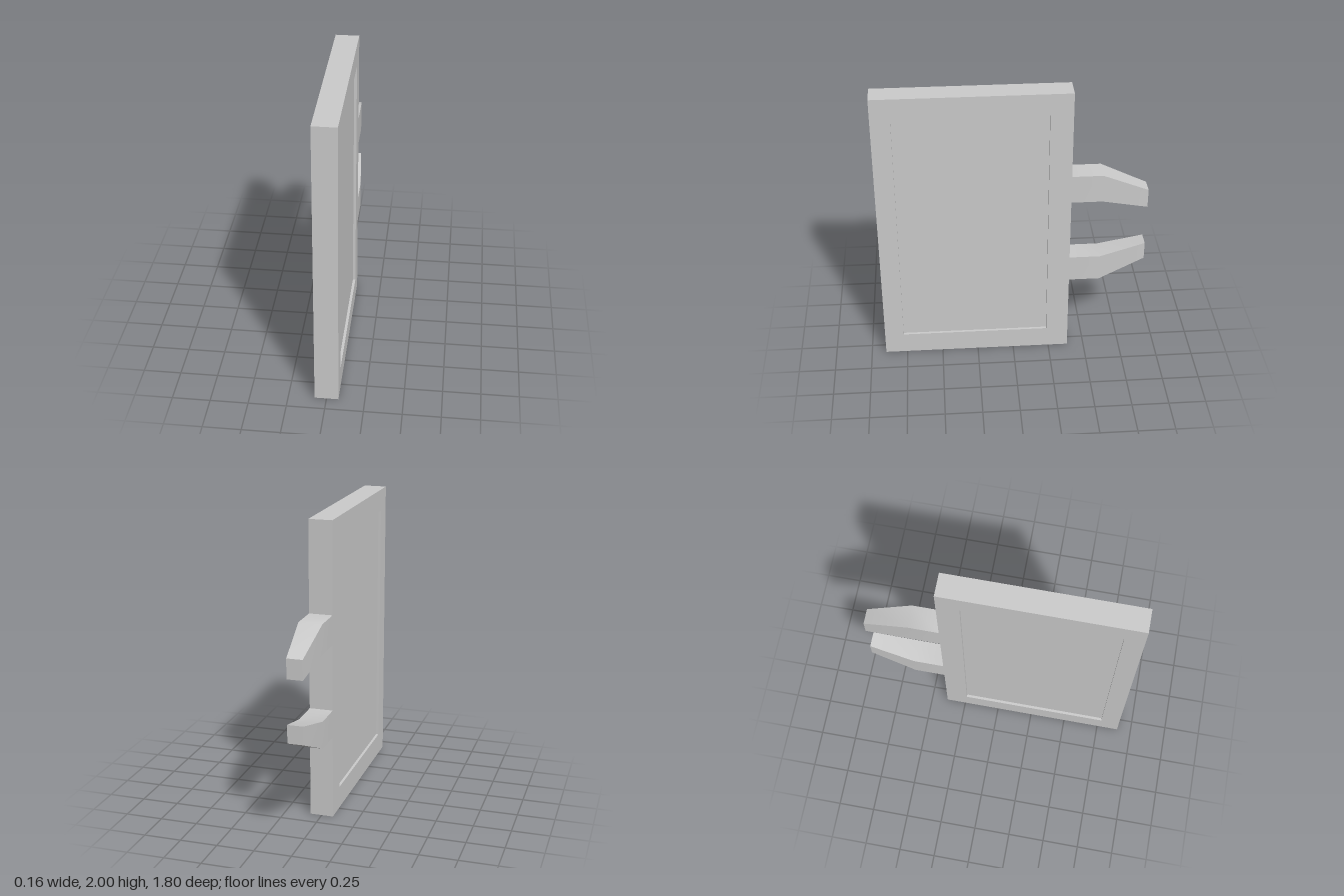
import * as THREE from 'three';

const HALF = 0.078; // half thickness of the board

// Rectangle outline in the (z, y) plane
function rect(target, z0, z1, y0, y1) {
  target.moveTo(z0, y0);
  target.lineTo(z1, y0);
  target.lineTo(z1, y1);
  target.lineTo(z0, y1);
  target.closePath();
  return target;
}

// Prong lofted through three rectangular sections: [z, yLow, yHigh, halfWidth]
function prongGeometry(sections) {
  const geo = new THREE.BoxGeometry(2, 2, 2, 1, 1, 2);
  const p = geo.attributes.position;
  for (let i = 0; i < p.count; i++) {
    const [z, low, high, half] = sections[Math.round(1 - p.getZ(i))];
    p.setXYZ(i, p.getX(i) * half, p.getY(i) > 0 ? high : low, z);
  }
  geo.computeVertexNormals();
  return geo;
}

export function createModel() {
  const model = new THREE.Group();
  const material = new THREE.MeshStandardMaterial({ color: 0xcccccc });
  const add = (name, geo) => {
    const mesh = new THREE.Mesh(geo, material);
    mesh.name = name;
    model.add(mesh);
    return mesh;
  };

  // Frame with a rectangular opening
  const outline = rect(new THREE.Shape(), -0.385, 0.9, 0, 2);
  outline.holes.push(rect(new THREE.Path(), -0.235, 0.77, 0.15, 1.85));
  const frame = new THREE.ExtrudeGeometry(outline, { depth: 2 * HALF, bevelEnabled: false });
  frame.translate(0, 0, -HALF).rotateY(-Math.PI / 2);
  add('frame', frame);

  // Panel set slightly back on both sides
  const panel = add('recessedPanel', new THREE.BoxGeometry(2 * (HALF - 0.018), 1.7, 1.005));
  panel.position.set(0, 1, 0.2675);

  // Two tapering prongs on the back edge, bending toward each other
  add('upperProng', prongGeometry([
    [-0.385, 1.195, 1.393, HALF], [-0.592, 1.195, 1.393, HALF], [-0.9, 1.123, 1.255, 0.052],
  ]));
  add('lowerProng', prongGeometry([
    [-0.385, 0.568, 0.753, HALF], [-0.592, 0.568, 0.753, HALF], [-0.9, 0.708, 0.83, 0.052],
  ]));

  return model;
}
